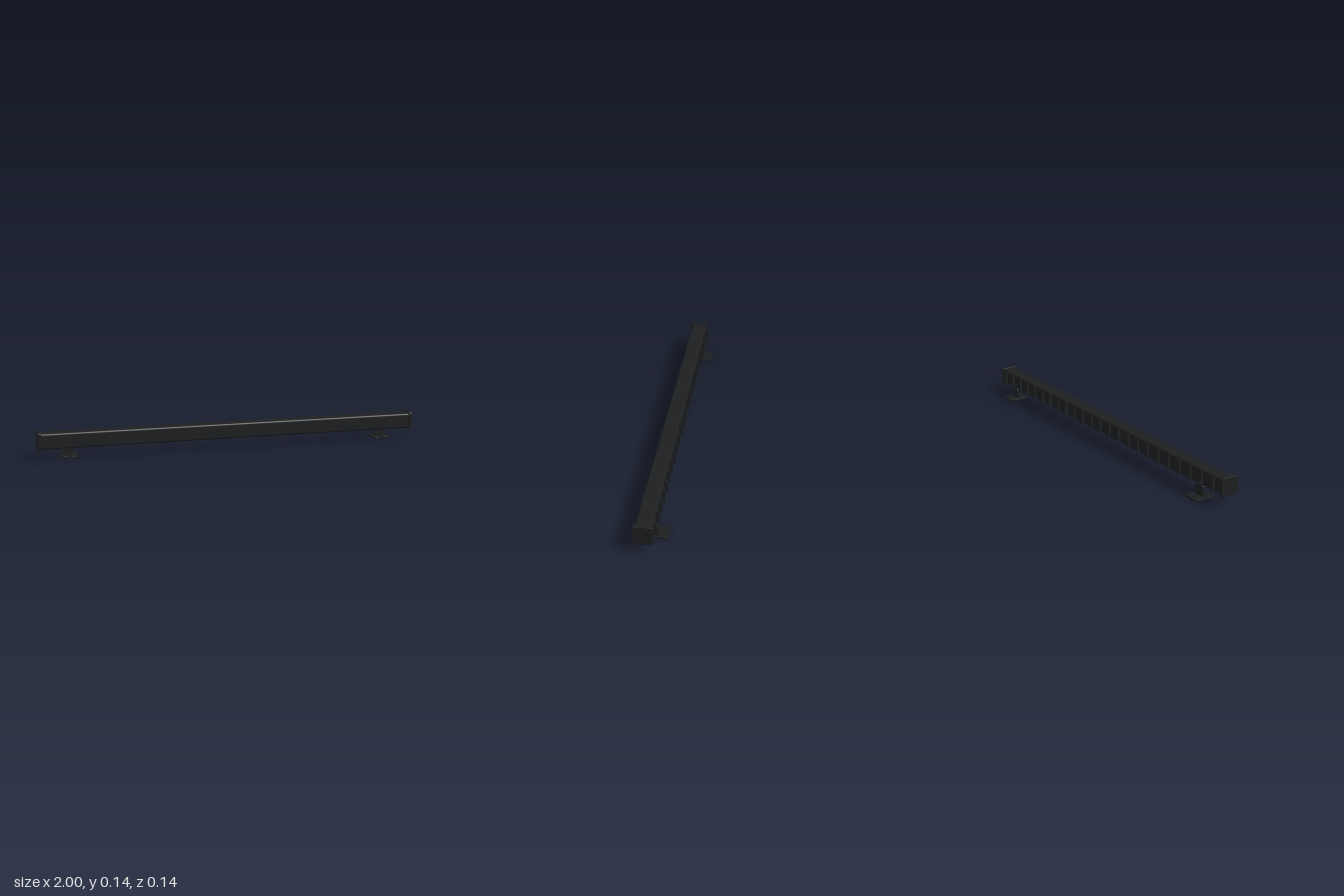
import * as THREE from 'three';

const dark = new THREE.MeshStandardMaterial({ color: 0x1c1e20 });

// Rounded rectangle centred on the origin
function roundedRect(w, h, r) {
  const s = new THREE.Shape();
  const x = w / 2, y = h / 2;
  s.moveTo(-x + r, -y);
  s.lineTo(x - r, -y);
  s.absarc(x - r, -y + r, r, -Math.PI / 2, 0);
  s.lineTo(x, y - r);
  s.absarc(x - r, y - r, r, 0, Math.PI / 2);
  s.lineTo(-x + r, y);
  s.absarc(-x + r, y - r, r, Math.PI / 2, Math.PI);
  s.lineTo(-x, -y + r);
  s.absarc(-x + r, -y + r, r, Math.PI, Math.PI * 1.5);
  return s;
}

// Extrusion centred on its own depth, with a small optional bevel inside its size
function slab(w, h, depth, r, bevel = 0) {
  const shape = roundedRect(w - 2 * bevel, h - 2 * bevel, r);
  const g = new THREE.ExtrudeGeometry(shape, {
    depth: depth - 2 * bevel, curveSegments: 5, bevelEnabled: bevel > 0,
    bevelSize: bevel, bevelThickness: bevel, bevelSegments: 2,
  });
  return g.translate(0, 0, -(depth - 2 * bevel) / 2);
}

function add(parent, name, geometry, x, y, z) {
  const m = new THREE.Mesh(geometry, dark);
  m.name = name;
  m.position.set(x, y, z);
  parent.add(m);
  return m;
}

// Foot plate with bolts, and the upright that carries the housing
function createBracket() {
  const g = new THREE.Group();
  g.name = 'mountingBracket';
  const plate = slab(0.088, 0.106, 0.009, 0.004, 0.001).rotateX(-Math.PI / 2);
  add(g, 'footPlate', plate, 0, 0.0045, -0.019);
  add(g, 'upright', slab(0.056, 0.056, 0.011, 0.003, 0.001), 0, 0.034, -0.0195);
  for (const z of [0.018, -0.055]) {
    add(g, 'boltHead', new THREE.CylinderGeometry(0.008, 0.008, 0.005, 16), 0, 0.0105, z);
    add(g, 'boltSocket', new THREE.CylinderGeometry(0.004, 0.004, 0.001, 6), 0, 0.0131, z);
  }
  return g;
}

export function createModel() {
  const model = new THREE.Group();
  model.name = 'linearLightBar';

  // Long housing
  const housing = slab(0.08, 0.08, 1.97, 0.01).rotateY(Math.PI / 2);
  add(model, 'housing', housing, 0, 0.097, 0.024);

  // End caps and brackets, one at each end
  const cap = slab(0.095, 0.094, 0.018, 0.004, 0.002).rotateY(Math.PI / 2);
  for (const side of [-1, 1]) {
    add(model, 'endCap', cap, side * 0.991, 0.0965, 0.0255);
    const bracket = createBracket();
    bracket.position.x = side * 0.844;
    model.add(bracket);
  }

  // Cooling fins along the back
  const count = 24;
  const fin = new THREE.BoxGeometry(0.008, 0.068, 0.018);
  for (let i = 0; i < count; i++) {
    add(model, 'coolingFin', fin, -0.94 + (1.88 * i) / (count - 1), 0.097, -0.022);
  }
  return model;
}
